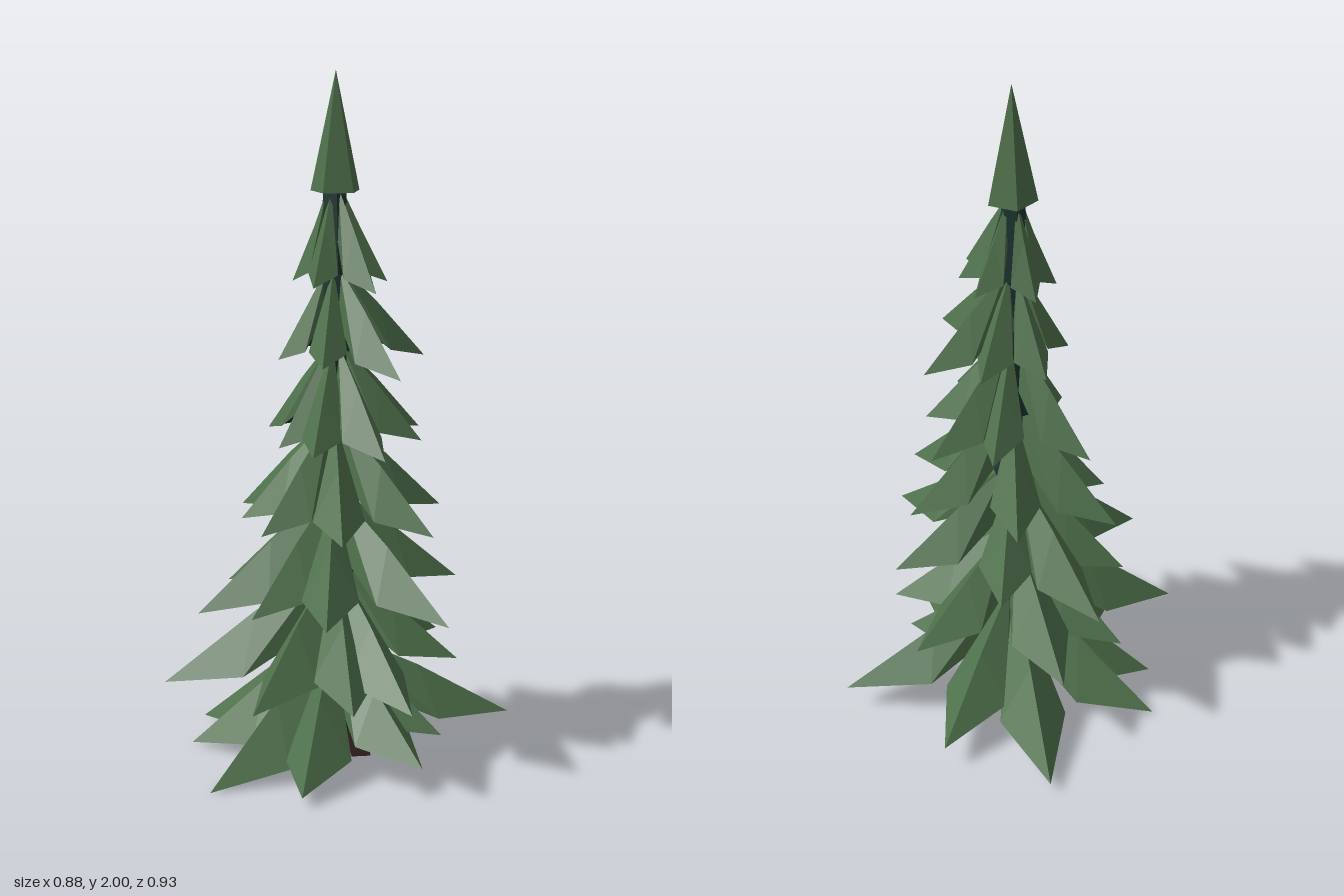
import * as THREE from 'three';

const mat = (name, color, side = THREE.FrontSide) => {
  const m = new THREE.MeshStandardMaterial({ color, side, flatShading: true });
  m.name = name;
  return m;
};

// Leaves of each tier from the bottom up, as [angle in degrees from +x toward +z, length]
const TIERS = [
  [[2, 0.4], [53, 0.41], [90, 0.462], [136, 0.43], [161, 0.47], [215, 0.54], [252, 0.47], [299, 0.533], [335, 0.34]],
  [[12, 0.45], [33, 0.405], [73, 0.42], [125, 0.5], [165, 0.37], [205, 0.4], [275, 0.38], [318, 0.36]],
  [[-6, 0.437], [44, 0.35], [85, 0.33], [112, 0.41], [152, 0.34], [190, 0.417], [233, 0.31], [296, 0.37]],
  [[-14, 0.34], [36, 0.29], [90, 0.27], [132, 0.27], [166, 0.34], [224, 0.28], [290, 0.33]],
  [[10, 0.275], [56, 0.22], [96, 0.19], [176, 0.28], [240, 0.24], [276, 0.3], [320, 0.25]],
  [[2, 0.29], [52, 0.165], [125, 0.16], [196, 0.18], [253, 0.2], [292, 0.27]],
  [[6, 0.2], [67, 0.13], [138, 0.12], [198, 0.13], [274, 0.14], [323, 0.15]],
];
const topOf = (i) => 0.37 + 0.218 * i;

// Folded leaf pointing along +x: two sloping halves above, a hollow underside below
function leafGeometry(r, top, tip, width) {
  const drop = top - tip;
  const ridge = [0.02, top, 0];
  const bend = [0.47 * r, tip + 0.6 * drop, 0];
  const point = [r, tip, 0];
  const hollowIn = [0.03, top - 0.22 * drop, 0];
  const hollow = [0.5 * r, tip + 0.3 * drop, 0];
  const upper = [], under = [];
  for (const s of [1, -1]) {
    const inner = [0.03, top - 0.5 * drop, s * width * 0.28];
    const outer = [0.55 * r, tip + 0.12 * drop, s * width];
    // Swap two corners on the mirrored half so that it still faces outward
    const tri = (list, a, b, c) => list.push(...a, ...(s > 0 ? b : c), ...(s > 0 ? c : b));
    tri(upper, ridge, inner, outer);
    tri(upper, ridge, outer, bend);
    tri(upper, bend, outer, point);
    tri(under, hollowIn, outer, inner);
    tri(under, hollowIn, hollow, outer);
    tri(under, hollow, point, outer);
    tri(under, hollowIn, inner, ridge);
  }
  const g = new THREE.BufferGeometry();
  g.setAttribute('position', new THREE.Float32BufferAttribute([...upper, ...under], 3));
  g.addGroup(0, upper.length / 3, 0);
  g.addGroup(upper.length / 3, under.length / 3, 1);
  g.computeVertexNormals();
  return g;
}

export function createModel() {
  const tree = new THREE.Group();
  tree.name = 'pineTree';
  const green = mat('needle green', 0x4f714c);
  const shade = mat('deep teal green', 0x1f3632, THREE.DoubleSide);
  const bark = mat('dark bark', 0x352325);

  const add = (parent, name, geo, material, x = 0, y = 0) => {
    const m = new THREE.Mesh(geo, material);
    m.name = name;
    m.position.set(x, y, 0);
    parent.add(m);
    return m;
  };

  // Trunk and flared roots
  add(tree, 'trunk', new THREE.CylinderGeometry(0.02, 0.06, 1.6, 6), bark, 0, 0.83);
  for (let i = 0; i < 6; i++) {
    const holder = new THREE.Group();
    holder.name = 'root';
    holder.rotation.y = i * Math.PI / 3 + 0.2;
    const root = add(holder, 'rootFlare', new THREE.CylinderGeometry(0.015, 0.04, 0.2, 4), bark, 0.05, 0.12);
    // Lean the flare by sliding its lower ring outward
    const p = root.geometry.attributes.position;
    for (let k = 0; k < p.count; k++) if (p.getY(k) < 0) p.setX(k, p.getX(k) + 0.045);
    root.geometry.computeVertexNormals();
    tree.add(holder);
  }

  // Leaf tiers, each around a dark tapered sleeve
  TIERS.forEach((leaves, i) => {
    const tier = new THREE.Group();
    tier.name = `branchTier${i + 1}`;
    const top = topOf(i), low = i === 0 ? 0.2 : topOf(i - 1) - 0.02;
    const sleeve = add(tier, 'innerFoliage',
      new THREE.CylinderGeometry(0.045 - i * 0.002, 0.072 - i * 0.004, top - low, 6), shade, 0, (top + low) / 2);
    sleeve.rotation.y = i * 0.7;
    const longest = Math.max(...leaves.map(([, r]) => r));
    for (const [degrees, r] of leaves) {
      const angle = THREE.MathUtils.degToRad(degrees);
      // Longer leaves hang lower, and the bottom tiers tilt toward the front
      const tilt = 0.05 / (1 + i) * Math.cos(angle - 2);
      const tip = 0.032 + 0.229 * i + 0.2 * (longest - r) - tilt;
      const leaf = add(tier, 'leaf', leafGeometry(r, top, tip, 0.1 - 0.009 * i), [green, shade]);
      leaf.rotation.y = -angle;
    }
    tree.add(tier);
  });

  // Pointed crown with a dark underside
  const crown = add(tree, 'crown', new THREE.ConeGeometry(0.072, 0.33, 5), [green, green, shade], 0.005, 1.835);
  crown.rotation.y = 0.35;
  return tree;
}
